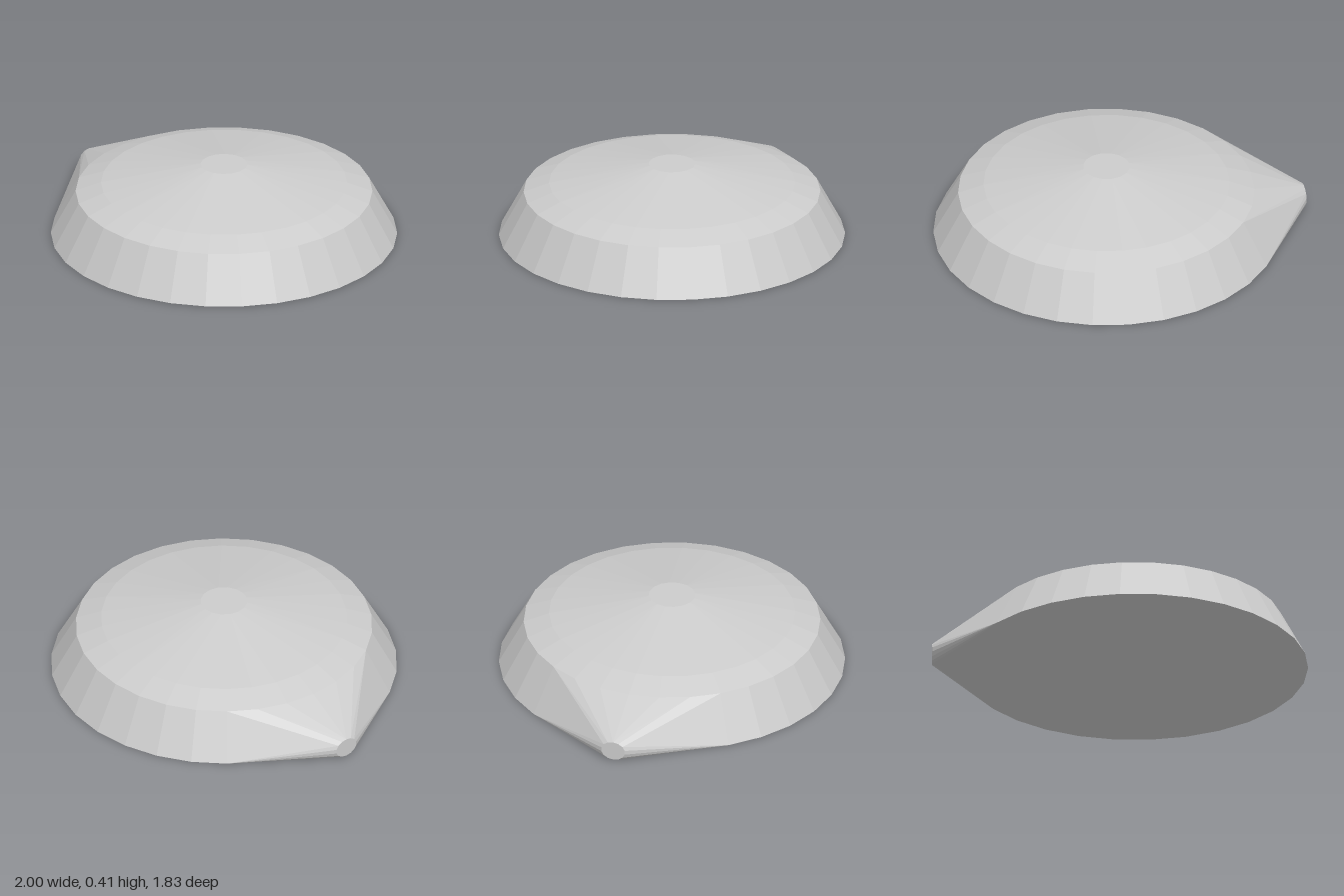
import * as THREE from 'three';
import { ConvexGeometry } from 'three/addons/geometries/ConvexGeometry.js';

export function createModel() {
  const group = new THREE.Group();
  const points = [];
  const centreX = 0.08;

  // Stacked rings of the low dome: [height, radius, sides]
  const rings = [[0, 0.922, 30], [0.247, 0.79, 30], [0.297, 0.655, 30], [0.405, 0.125, 16]];
  for (const [y, r, sides] of rings) {
    for (let i = 0; i < sides; i++) {
      const a = (i / sides) * Math.PI * 2;
      points.push(new THREE.Vector3(centreX + r * Math.cos(a), y, r * Math.sin(a)));
    }
  }

  // Small upright disc at the tip, towards which the shell tapers
  for (let i = 0; i < 14; i++) {
    const a = (i / 14) * Math.PI * 2;
    points.push(new THREE.Vector3(-1, 0.063 + 0.053 * Math.cos(a), 0.067 * Math.sin(a)));
  }

  // Taut shell around the dome and the tip
  const shell = new THREE.Mesh(
    new ConvexGeometry(points),
    new THREE.MeshStandardMaterial({ color: 0xcccccc, flatShading: true })
  );
  shell.name = 'domedShell';
  group.add(shell);
  return group;
}
